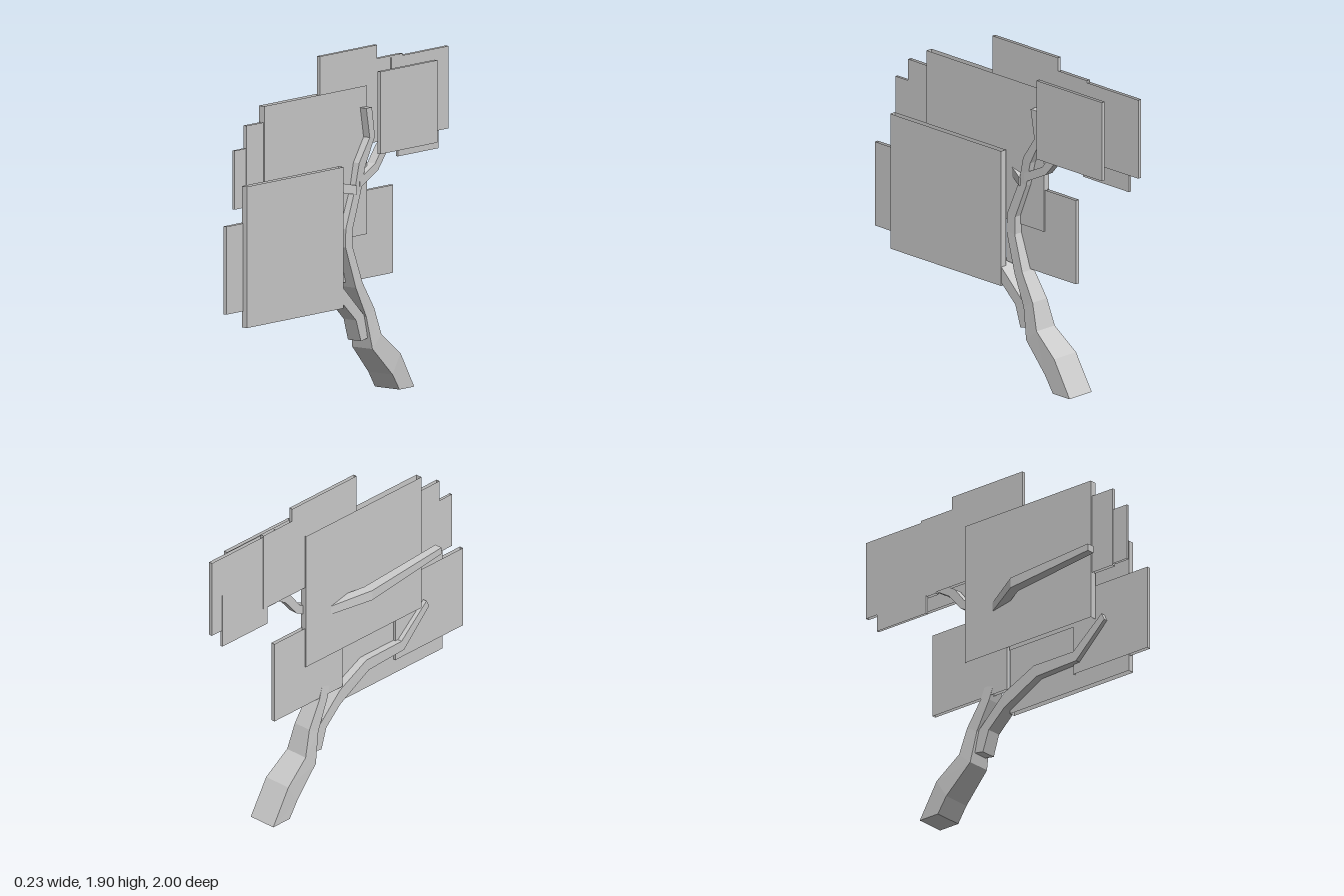
import * as THREE from 'three';

const material = new THREE.MeshStandardMaterial({
  color: 0xcccccc, flatShading: true, side: THREE.DoubleSide,
});

// Four-sided limb lofted through sections [z1, y1, z2, y2, x, halfWidth];
// (z1, y1) and (z2, y2) are the two edges of the limb seen from the side.
function limb(name, sections) {
  const pos = [], index = [];
  for (const [z1, y1, z2, y2, x, h] of sections) {
    pos.push(x - h, y1, z1, x + h, y1, z1, x + h, y2, z2, x - h, y2, z2);
  }
  for (let s = 0; s < sections.length - 1; s++) {
    for (let i = 0; i < 4; i++) {
      const a = s * 4 + i, b = s * 4 + (i + 1) % 4;
      index.push(a, b, b + 4, a, b + 4, a + 4);
    }
  }
  const e = (sections.length - 1) * 4;
  index.push(0, 2, 1, 0, 3, 2, e, e + 1, e + 2, e, e + 2, e + 3);
  const geo = new THREE.BufferGeometry();
  geo.setAttribute('position', new THREE.Float32BufferAttribute(pos, 3));
  geo.setIndex(index);
  const flat = geo.toNonIndexed();
  flat.computeVertexNormals();
  const mesh = new THREE.Mesh(flat, material);
  mesh.name = name;
  return mesh;
}

// Thin upright foliage slab, open at the top and bottom
function leafPanel(name, x, z0, z1, y0, y1) {
  const width = z1 - z0;
  const geo = new THREE.BoxGeometry(width * 0.042, y1 - y0, width);
  const idx = Array.from(geo.index.array);
  geo.setIndex([...idx.slice(0, 12), ...idx.slice(24)]);
  geo.clearGroups();
  const mesh = new THREE.Mesh(geo, material);
  mesh.position.set(x, (y0 + y1) / 2, (z0 + z1) / 2);
  mesh.name = name;
  return mesh;
}

export function createModel() {
  const tree = new THREE.Group();
  tree.name = 'tree';

  // Curved trunk, flared at the root
  tree.add(limb('trunk', [
    [-0.44, 0, -0.57, 0, 0.03, 0.085],
    [-0.38, 0.09, -0.45, 0.2, 0.03, 0.084],
    [-0.22, 0.25, -0.30, 0.32, 0.03, 0.07],
    [-0.185, 0.43, -0.255, 0.47, 0.03, 0.055],
    [-0.105, 0.6, -0.165, 0.62, 0.03, 0.045],
    [-0.03, 0.83, -0.095, 0.82, 0.03, 0.033],
    [-0.035, 0.93, -0.095, 0.92, 0.03, 0.03],
    [-0.12, 1.13, -0.175, 1.12, 0.03, 0.025],
  ]));

  // Low branch reaching forward
  tree.add(limb('lowBranch', [
    [-0.15, 0.3, -0.21, 0.31, 0.03, 0.045],
    [-0.11, 0.42, -0.18, 0.44, 0.03, 0.043],
    [0, 0.52, 0, 0.61, 0.03, 0.042],
    [0.23, 0.64, 0.21, 0.71, 0.03, 0.038],
    [0.51, 0.65, 0.49, 0.71, 0.03, 0.034],
    [0.71, 0.84, 0.69, 0.88, 0.03, 0.03],
  ]));

  // High branch that swings out sideways, then forward
  tree.add(limb('sideBranch', [
    [-0.13, 1.11, -0.13, 1.16, 0.035, 0.03],
    [0.14, 1.16, 0.14, 1.22, -0.09, 0.03],
    [0.69, 1.22, 0.69, 1.26, -0.09, 0.023],
  ]));

  // Upper fork
  tree.add(limb('topBranch', [
    [-0.12, 1.13, -0.175, 1.12, 0.03, 0.025],
    [-0.155, 1.28, -0.21, 1.26, 0.035, 0.024],
    [-0.245, 1.41, -0.29, 1.41, 0.04, 0.022],
    [-0.215, 1.575, -0.265, 1.575, 0.04, 0.021],
  ]));
  tree.add(limb('backBranch', [
    [-0.16, 1.19, -0.165, 1.14, 0.03, 0.028],
    [-0.30, 1.26, -0.325, 1.22, 0.03, 0.027],
    [-0.37, 1.35, -0.41, 1.32, 0.03, 0.026],
    [-0.66, 1.53, -0.69, 1.49, 0.03, 0.025],
  ]));

  // Foliage: x, z range, y range
  const foliage = new THREE.Group();
  foliage.name = 'foliage';
  [
    [0.055, 0, 0.855, 0.5, 1.28],
    [0, -0.275, 0.63, 0.87, 1.69],
    [0.085, -0.8, -0.295, 1.315, 1.77],
    [0, -0.375, 0.13, 1.44, 1.9],
    [0, -0.6, -0.095, 1.365, 1.825],
    [0.005, -1, -0.495, 1.36, 1.815],
    [0, -0.92, -0.565, 1.26, 1.58],
    [0, -0.515, 0.02, 0.625, 1.11],
    [0.035, 0.47, 1, 0.59, 1.075],
    [0, 0.275, 0.78, 1.14, 1.6],
    [0, 0.525, 0.88, 1.15, 1.475],
  ].forEach((p, i) => foliage.add(leafPanel(`leafPanel${i + 1}`, ...p)));
  tree.add(foliage);
  return tree;
}
